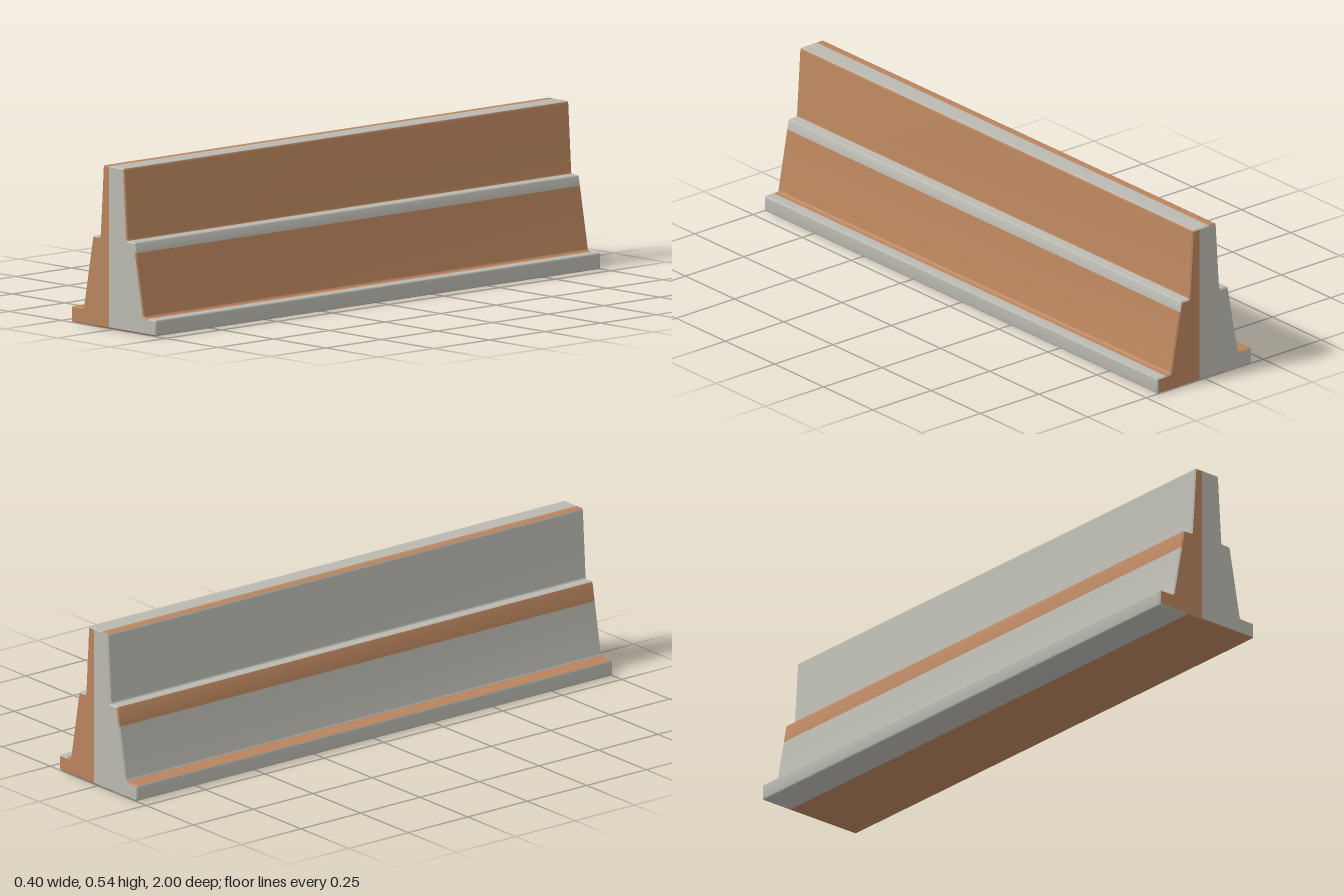
import * as THREE from 'three';
import { toCreasedNormals } from 'three/addons/utils/BufferGeometryUtils.js';

const HALF = 1;        // half length along z
const BEVEL = 0.004;   // softened rim at both ends
const ARC = 4;         // segments per rounded corner

// Cross-section, counter-clockwise: x, y, corner radius, colour of the face that follows
const PROFILE = [
  [-0.085, 0, 0, 'clay'],
  [0.202, 0, 0.006, 'stone'],        // foot, left
  [0.202, 0.054, 0.006, 'stone'],
  [0.165, 0.054, 0, 'clay'],
  [0.145, 0.054, 0.008, 'clay'],     // lower slope, left
  [0.1064, 0.265, 0, 'stone'],
  [0.1, 0.3, 0.008, 'stone'],
  [0.065, 0.3, 0.006, 'clay'],       // upper slope, left
  [0.05, 0.54, 0.008, 'stone'],      // top
  [-0.019, 0.54, 0, 'clay'],
  [-0.05, 0.54, 0.008, 'stone'],     // upper slope, right
  [-0.065, 0.3, 0.006, 'stone'],
  [-0.1, 0.3, 0.008, 'clay'],        // lower slope, right
  [-0.1118, 0.235, 0, 'stone'],
  [-0.145, 0.054, 0.008, 'clay'],
  [-0.202, 0.054, 0.006, 'stone'],   // foot, right
  [-0.202, 0, 0.006, 'stone'],
];

// Round the corners; each point carries the colour of the segment after it
function makeOutline() {
  const pts = [];
  const n = PROFILE.length;
  PROFILE.forEach(([x, y, r, colour], i) => {
    const before = PROFILE[(i + n - 1) % n];
    const after = PROFILE[(i + 1) % n];
    const c = new THREE.Vector2(x, y);
    if (r === 0) {
      pts.push({ p: c, colour });
      return;
    }
    const a = new THREE.Vector2(before[0], before[1]).sub(c).setLength(r).add(c);
    const b = new THREE.Vector2(after[0], after[1]).sub(c).setLength(r).add(c);
    const curve = new THREE.QuadraticBezierCurve(a, c, b);
    for (let k = 0; k <= ARC; k++) {
      pts.push({ p: curve.getPoint(k / ARC), colour: k < ARC / 2 ? before[3] : colour });
    }
  });
  return pts;
}

// Shift every outline point inwards along its averaged normal
function inset(outline, d) {
  const n = outline.length;
  return outline.map(({ p }, i) => {
    const t = outline[(i + 1) % n].p.clone().sub(outline[(i + n - 1) % n].p).normalize();
    return new THREE.Vector2(p.x - t.y * d, p.y + t.x * d);
  });
}

// Long faces of one colour, swept through four rings from front to back
function sweep(outline, colour) {
  const full = outline.map((o) => o.p);
  const small = inset(outline, BEVEL);
  const rings = [[small, HALF], [full, HALF - BEVEL], [full, BEVEL - HALF], [small, -HALF]];
  const pos = [];
  outline.forEach((o, i) => {
    if (o.colour !== colour) return;
    const j = (i + 1) % outline.length;
    for (let k = 0; k < 3; k++) {
      const [f, zf] = rings[k];
      const [b, zb] = rings[k + 1];
      pos.push(f[i].x, f[i].y, zf, b[i].x, b[i].y, zb, b[j].x, b[j].y, zb);
      pos.push(f[i].x, f[i].y, zf, b[j].x, b[j].y, zb, f[j].x, f[j].y, zf);
    }
  });
  const geo = new THREE.BufferGeometry();
  geo.setAttribute('position', new THREE.Float32BufferAttribute(pos, 3));
  return toCreasedNormals(geo, 0.5);
}

// Part of the end face on one side of x = split
function halfCap(points, split, side) {
  const out = [];
  points.forEach((a, i) => {
    const b = points[(i + 1) % points.length];
    const da = (a.x - split) * side;
    const db = (b.x - split) * side;
    if (da >= 0) out.push(a);
    if (da * db < 0) out.push(a.clone().lerp(b, da / (da - db)));
  });
  return new THREE.ShapeGeometry(new THREE.Shape(out));
}

export function createModel() {
  const materials = {
    clay: new THREE.MeshStandardMaterial({ color: 0xb9845d }),
    stone: new THREE.MeshStandardMaterial({ color: 0xb9b8b0 }),
  };
  const group = new THREE.Group();
  group.name = 'roadBarrier';
  const outline = makeOutline();
  const capPoints = inset(outline, BEVEL);

  const add = (parent, geo, colour, name) => {
    materials[colour].name = colour;
    const mesh = new THREE.Mesh(geo, materials[colour]);
    mesh.name = name;
    parent.add(mesh);
  };

  // Long faces
  add(group, sweep(outline, 'clay'), 'clay', 'clayLongFaces');
  add(group, sweep(outline, 'stone'), 'stone', 'stoneLongFaces');

  // Two-tone end faces; the back is the front turned half round
  for (const [name, turn] of [['frontEnd', 0], ['backEnd', Math.PI]]) {
    const end = new THREE.Group();
    end.name = name;
    end.rotation.y = turn;
    add(end, halfCap(capPoints, -0.022, -1).translate(0, 0, HALF), 'clay', name + 'Clay');
    add(end, halfCap(capPoints, -0.022, 1).translate(0, 0, HALF), 'stone', name + 'Stone');
    group.add(end);
  }
  return group;
}
